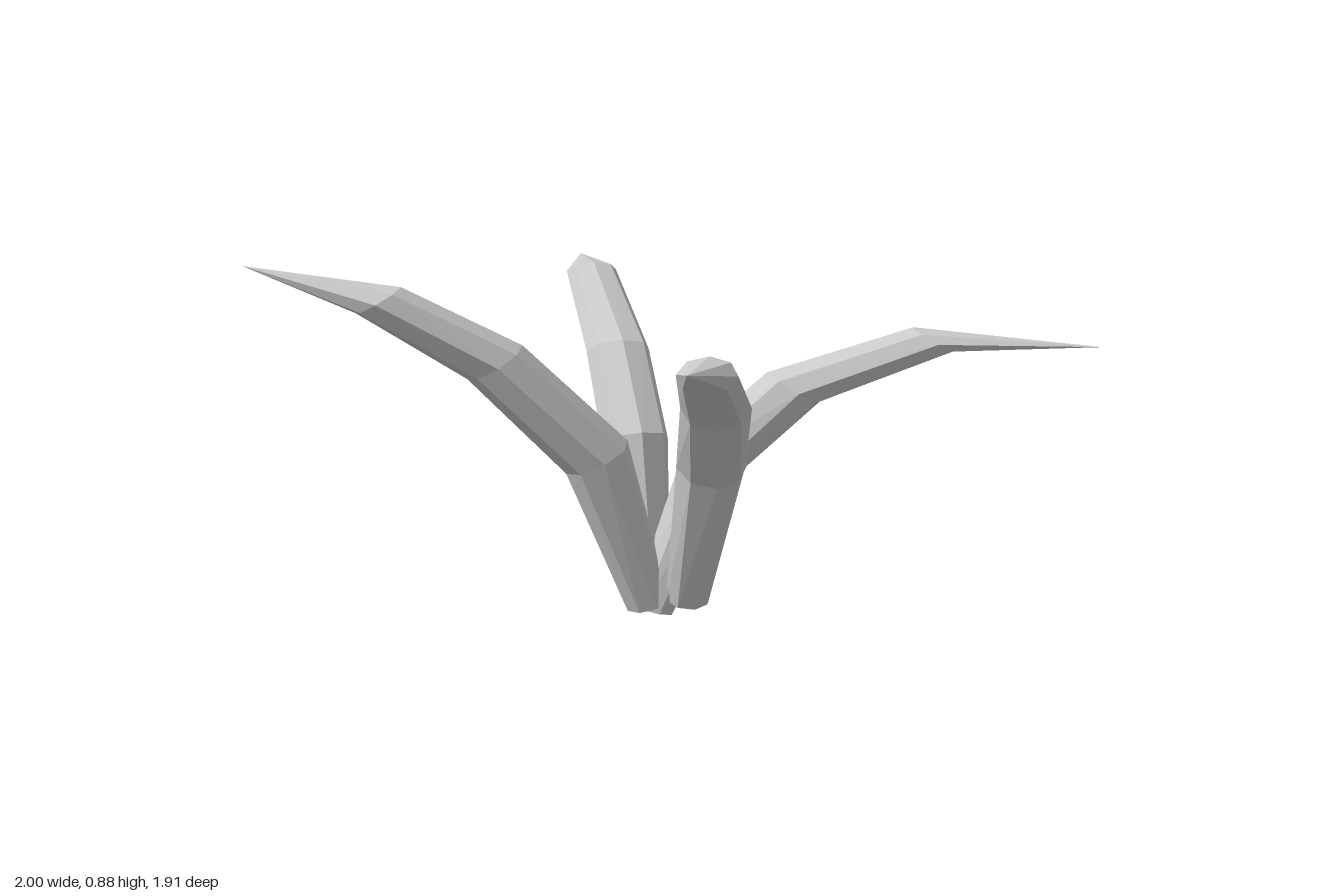
import * as THREE from 'three';

const SIDES = 8;
// Each ring: half width, then lean of its upper edge (outward, up)
const RINGS = [
  [0.055, -0.053, 0.015],
  [0.083, -0.075, 0.036],
  [0.08, -0.065, 0.038],
  [0.066, -0.053, 0.03],
];

// Centre line of each leaf from base to tip
const LEAVES = {
  rightLeaf: [[-0.09, 0.03, 0.06], [-0.22, 0.41, 0.065], [-0.455, 0.65, 0.025], [-0.715, 0.805, -0.025], [-1, 0.88, -0.16]],
  leftLeaf: [[-0.08, 0.015, 0.06], [0.09, 0.39, 0.06], [0.27, 0.55, 0.105], [0.6, 0.66, 0.19], [1, 0.635, 0.31]],
  backLeaf: [[-0.085, 0.035, 0.05], [-0.072, 0.405, -0.08], [-0.05, 0.592, -0.27], [-0.005, 0.738, -0.61], [0.08, 0.725, -0.96]],
  frontLeaf: [[-0.003, 0.045, 0.1], [-0.003, 0.415, 0.255], [-0.065, 0.6, 0.44], [-0.185, 0.735, 0.69], [-0.33, 0.8, 0.95]],
};

function leafGeometry(path) {
  const pts = path.map((p) => new THREE.Vector3(...p));
  const tip = pts[pts.length - 1];
  const rings = RINGS.map(([width, lean, rise], i) => {
    const out = pts[i + 1].clone().sub(pts[Math.max(i - 1, 0)]).setY(0).normalize();
    const side = new THREE.Vector3(out.z, 0, -out.x).multiplyScalar(width);
    const top = out.clone().multiplyScalar(lean).setY(rise);
    return Array.from({ length: SIDES }, (_, j) => {
      const a = (j / SIDES) * Math.PI * 2;
      return pts[i].clone().addScaledVector(side, Math.cos(a)).addScaledVector(top, Math.sin(a));
    });
  });

  const tris = [];
  for (let j = 0; j < SIDES; j++) {
    const k = (j + 1) % SIDES;
    // Closed base
    tris.push(pts[0], rings[0][k], rings[0][j]);
    // Stem and blade
    for (let i = 0; i < rings.length - 1; i++) {
      const lower = rings[i], upper = rings[i + 1];
      tris.push(lower[j], lower[k], upper[k], lower[j], upper[k], upper[j]);
    }
    // Pointed tip
    const last = rings[rings.length - 1];
    tris.push(last[j], last[k], tip);
  }
  const geometry = new THREE.BufferGeometry().setFromPoints(tris);
  geometry.computeVertexNormals();
  return geometry;
}

export function createModel() {
  const group = new THREE.Group();
  group.name = 'plant';
  const material = new THREE.MeshStandardMaterial({ color: 0xcccccc, flatShading: true });
  for (const [name, path] of Object.entries(LEAVES)) {
    const leaf = new THREE.Mesh(leafGeometry(path), material);
    leaf.name = name;
    group.add(leaf);
  }
  return group;
}
